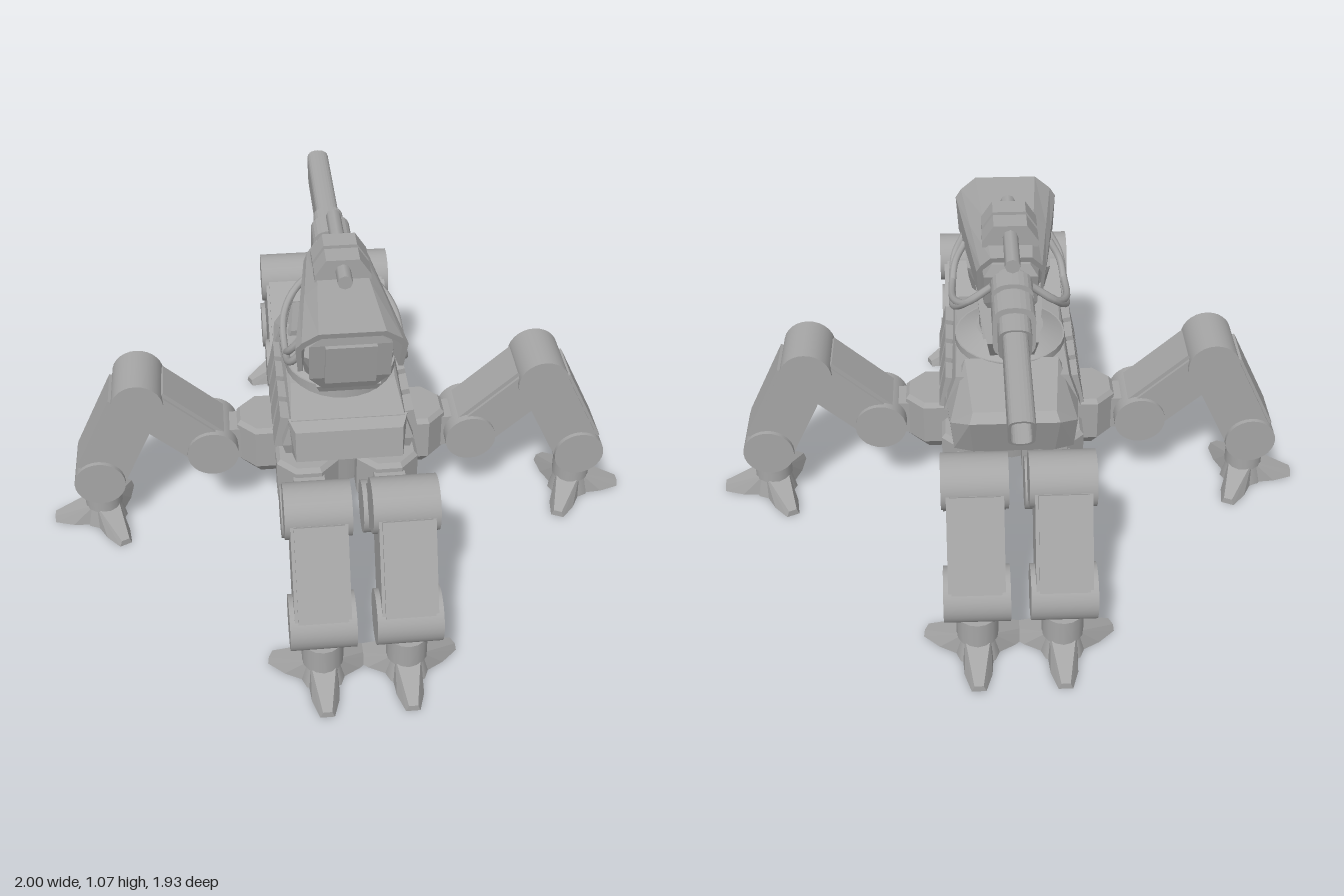
import * as THREE from 'three';
import { ConvexGeometry } from 'three/addons/geometries/ConvexGeometry.js';

const grey = new THREE.MeshStandardMaterial({ color: 0xa6a6a6 });
grey.name = 'plainGrey';

function add(parent, name, geometry, x = 0, y = 0, z = 0) {
  const mesh = new THREE.Mesh(geometry, grey);
  mesh.name = name;
  mesh.position.set(x, y, z);
  parent.add(mesh);
  return mesh;
}
const box = (w, h, d) => new THREE.BoxGeometry(w, h, d);

// Faceted solid from half-points [x, y, z], mirrored across x = 0
function mirrored(points) {
  return new ConvexGeometry(points.flatMap(([x, y, z]) =>
    [new THREE.Vector3(x, y, z), new THREE.Vector3(-x, y, z)]));
}

// Flat bar between two points in the leg's plane
function bar(parent, name, a, b, thick, width, shift) {
  const dx = b[0] - a[0], dy = b[1] - a[1], length = Math.hypot(dx, dy);
  const mesh = add(parent, name, box(length, thick, width),
    (a[0] + b[0]) / 2 - dy / length * shift, (a[1] + b[1]) / 2 + dx / length * shift, 0);
  mesh.rotation.z = Math.atan2(dy, dx);
}

// Leg that reaches out along +x
function makeLeg(name) {
  const leg = new THREE.Group();
  leg.name = name;
  const hip = [0.435, 0.33], knee = [0.67, 0.545], ankle = [0.82, 0.23];

  // Hip pod with tapered underside
  const pod = new THREE.LatheGeometry([[0, 0.22], [0.07, 0.22], [0.108, 0.265],
    [0.108, 0.405], [0.095, 0.42], [0, 0.42]].map(p => new THREE.Vector2(...p)), 8, Math.PI / 8).toNonIndexed();
  pod.computeVertexNormals();
  add(leg, 'hipPod', pod, 0.25);
  add(leg, 'hipLink', box(0.1, 0.12, 0.1), 0.36, 0.33);

  for (const [part, p] of [['hipJoint', hip], ['kneeJoint', knee], ['ankleJoint', ankle]]) {
    add(leg, part, new THREE.CylinderGeometry(0.085, 0.085, 0.2, 28).rotateX(Math.PI / 2), p[0], p[1]);
  }
  bar(leg, 'thigh', hip, knee, 0.14, 0.17, 0);
  bar(leg, 'thighPanel', [0.45, 0.344], [0.64, 0.518], 0.02, 0.15, 0.073);
  bar(leg, 'shin', knee, ankle, 0.16, 0.17, 0);
  bar(leg, 'shinPanel', [0.682, 0.52], [0.81, 0.251], 0.02, 0.15, 0.08);

  // Foot with one outer toe and two rear toes
  const foot = new THREE.Group();
  foot.name = 'foot';
  foot.position.x = 0.826;
  leg.add(foot);
  add(foot, 'footCollar', new THREE.CylinderGeometry(0.064, 0.064, 0.09, 16), 0, 0.115);
  add(foot, 'footBase', new THREE.CylinderGeometry(0.055, 0.075, 0.085, 8), 0, 0.0425);
  const toe = mirrored([[0.05, 0, 0], [0.04, 0.085, 0.03], [0.042, 0, 0.11],
    [0.026, 0.042, 0.11], [0.022, 0, 0.174], [0.014, 0.022, 0.174]]);
  for (const angle of [90, 90 + 115, 90 - 115]) {
    add(foot, 'toe', toe).rotation.y = THREE.MathUtils.degToRad(angle);
  }
  return leg;
}

function makeHull() {
  const hull = new THREE.Group();
  hull.name = 'hull';
  add(hull, 'chassis', new THREE.CylinderGeometry(0.22, 0.19, 0.2, 12), 0, 0.36);
  add(hull, 'mainHull', mirrored([
    [0.2, 0.46, 0.27], [0.21, 0.5, 0.28], [0.18, 0.59, 0.27],
    [0.2, 0.44, -0.23], [0.22, 0.5, -0.23], [0.18, 0.62, -0.22], [0.17, 0.61, 0.1]]));
  add(hull, 'nosePanel', mirrored([
    [0.18, 0.46, 0.27], [0.19, 0.59, 0.26], [0.17, 0.47, 0.33], [0.17, 0.575, 0.315]]));
  // Wedge at the rear
  add(hull, 'rearHull', mirrored([
    [0.2, 0.44, -0.18], [0.215, 0.52, -0.18], [0.15, 0.64, -0.15],
    [0.19, 0.43, -0.34], [0.2, 0.54, -0.35], [0.13, 0.6, -0.38], [0.13, 0.43, -0.36], [0.14, 0.58, -0.415]]));
  // Rows of side plates
  for (const side of [-1, 1]) {
    for (let i = 0; i < 4; i++) {
      const plate = add(hull, 'sidePlate', box(0.035, 0.115, 0.085), side * 0.207, 0.525, 0.2 - i * 0.11);
      plate.rotation.z = side * 0.2;
    }
  }
  add(hull, 'turretRing', new THREE.CylinderGeometry(0.11, 0.18, 0.035, 28), 0, 0.655);
  add(hull, 'turretRingBase', new THREE.CylinderGeometry(0.18, 0.18, 0.05, 28), 0, 0.615);
  add(hull, 'turretNeck', new THREE.CylinderGeometry(0.1, 0.1, 0.05, 20), 0, 0.685);
  return hull;
}

// Armoured hood: arch section stretched between slanted front and rear edges
function makeHood() {
  const outer = [[0.16, 0.835], [0.168, 0.94], [0.15, 0.965], [0.1, 1.002]];
  const inner = [[0.09, 0.982], [0.135, 0.95], [0.15, 0.93], [0.145, 0.835]];
  const flip = list => [...list].reverse().map(([x, y]) => [-x, y]);
  const shape = new THREE.Shape([...outer, ...flip(outer), ...flip(inner), ...inner]
    .map(p => new THREE.Vector2(...p)));
  const geometry = new THREE.ExtrudeGeometry(shape, { depth: 1, steps: 2, bevelEnabled: false });
  const pos = geometry.attributes.position;
  for (let i = 0; i < pos.count; i++) {
    const t = pos.getZ(i), drop = (1 - pos.getY(i)) / 0.16;
    pos.setX(i, pos.getX(i) * (0.64 + 0.36 * t));
    pos.setZ(i, THREE.MathUtils.lerp(-0.13 + 0.06 * drop, 0.39 - 0.05 * drop, t));
  }
  geometry.computeVertexNormals();
  return geometry;
}

// Upright rounded outline for the cannon
function oval(target, w, h) {
  const c = w * 0.75;
  target.moveTo(w, -h + c);
  target.lineTo(w, h - c);
  target.quadraticCurveTo(w, h, 0, h);
  target.quadraticCurveTo(-w, h, -w, h - c);
  target.lineTo(-w, -h + c);
  target.quadraticCurveTo(-w, -h, 0, -h);
  target.quadraticCurveTo(w, -h, w, -h + c);
  return target;
}

// Cannon piece running from z0 back to z1, its rear end slanted by slant
function cannonPart(w, h, z0, z1, slant = 0, wall = 0) {
  const shape = oval(new THREE.Shape(), w, h);
  if (wall) shape.holes.push(oval(new THREE.Path(), w - wall, h - wall));
  const geometry = new THREE.ExtrudeGeometry(shape, { depth: z0 - z1, bevelEnabled: false, curveSegments: 6 });
  const pos = geometry.attributes.position;
  for (let i = 0; i < pos.count; i++) {
    if (pos.getZ(i) < 0.001) pos.setZ(i, slant * (h - pos.getY(i)) / (2 * h));
  }
  geometry.computeVertexNormals();
  return geometry.translate(0, 0, z1);
}

function makeTurret() {
  const turret = new THREE.Group();
  turret.name = 'turret';
  add(turret, 'turretBase', mirrored([
    [0.09, 0.7, 0.27], [0.1, 0.73, 0.285], [0.08, 0.675, 0], [0.11, 0.77, 0.1],
    [0.09, 0.68, -0.1], [0.1, 0.77, -0.07]]));
  add(turret, 'tailPlate', mirrored([
    [0.1, 0.77, -0.05], [0.08, 0.68, -0.05], [0.07, 0.68, -0.19], [0.08, 0.77, -0.255]]));
  // Head block under the hood
  add(turret, 'headBlock', mirrored([
    [0.08, 0.965, 0.35], [0.125, 0.93, 0.35], [0.125, 0.79, 0.32], [0.08, 0.72, 0.28],
    [0.06, 0.96, -0.1], [0.085, 0.92, -0.11], [0.085, 0.8, -0.07], [0.06, 0.74, -0.04]]));
  add(turret, 'facePanel', mirrored([
    [0.078, 0.93, 0.34], [0.078, 0.93, 0.365], [0.078, 0.78, 0.31], [0.078, 0.78, 0.335]]));
  add(turret, 'hood', makeHood());

  // Cheeks and hanging hoses
  for (const s of [-1, 1]) {
    add(turret, 'cheek', new ConvexGeometry([[0.1, 0.84, 0.3], [0.145, 0.84, 0.27], [0.13, 0.73, 0.2],
      [0.09, 0.72, 0.25], [0.1, 0.84, 0.06], [0.135, 0.84, 0.08], [0.12, 0.73, 0.13], [0.09, 0.72, 0.1]]
      .map(([x, y, z]) => new THREE.Vector3(s * x, y, z))));
    for (const [reach, low] of [[0.21, 0.735], [0.27, 0.76]]) {
      const path = new THREE.CatmullRomCurve3([
        [0.14, 0.86, reach], [0.175, 0.8, reach - 0.03], [0.185, low, reach - 0.13],
        [0.18, low + 0.03, -0.03], [0.14, 0.83, -0.11], [0.06, 0.9, -0.13],
      ].map(([x, y, z]) => new THREE.Vector3(s * x, y, z)));
      add(turret, 'hose', new THREE.TubeGeometry(path, 24, 0.012, 8));
    }
  }

  // Cannon pointing to the rear, with an open slanted muzzle
  const cannon = new THREE.Group();
  cannon.name = 'cannon';
  cannon.position.y = 0.873;
  turret.add(cannon);
  add(cannon, 'barrelCore', cannonPart(0.05, 0.075, -0.05, -0.3));
  add(cannon, 'barrelCollar', cannonPart(0.065, 0.09, -0.14, -0.22));
  add(cannon, 'barrelCollar', cannonPart(0.065, 0.09, -0.25, -0.35));
  add(cannon, 'barrelSleeve', cannonPart(0.05, 0.072, -0.3, -0.44, 0.05));
  add(cannon, 'barrel', cannonPart(0.038, 0.065, -0.35, -0.86, 0.06, 0.008));
  add(cannon, 'barrelPlug', cannonPart(0.034, 0.06, -0.35, -0.5));

  // Sight tube and its clamps on the roof
  add(turret, 'sightTube', new THREE.CylinderGeometry(0.024, 0.024, 0.4, 8).rotateX(Math.PI / 2), 0, 1.032, -0.03);
  for (const z of [0.068, -0.02]) {
    add(turret, 'sightClamp', mirrored([-0.035, 0.035].flatMap(d =>
      [[0.088, 0.995, z + d], [0.088, 1.015, z + d], [0.052, 1.07, z + d]])));
  }
  return turret;
}

export function createModel() {
  const model = new THREE.Group();
  model.name = 'walker';
  model.add(makeHull(), makeTurret());
  for (const [name, turn, x, z] of [
    ['leftLeg', 0, 0, 0], ['rightLeg', Math.PI, 0, 0],
    ['frontLeftLeg', -Math.PI / 2, 0.13, -0.035], ['frontRightLeg', -Math.PI / 2, -0.13, -0.035],
    ['backLeftLeg', Math.PI / 2, 0.13, 0.035], ['backRightLeg', Math.PI / 2, -0.13, 0.035]]) {
    const leg = makeLeg(name);
    leg.rotation.y = turn;
    leg.position.set(x, 0, z);
    model.add(leg);
  }
  return model;
}
